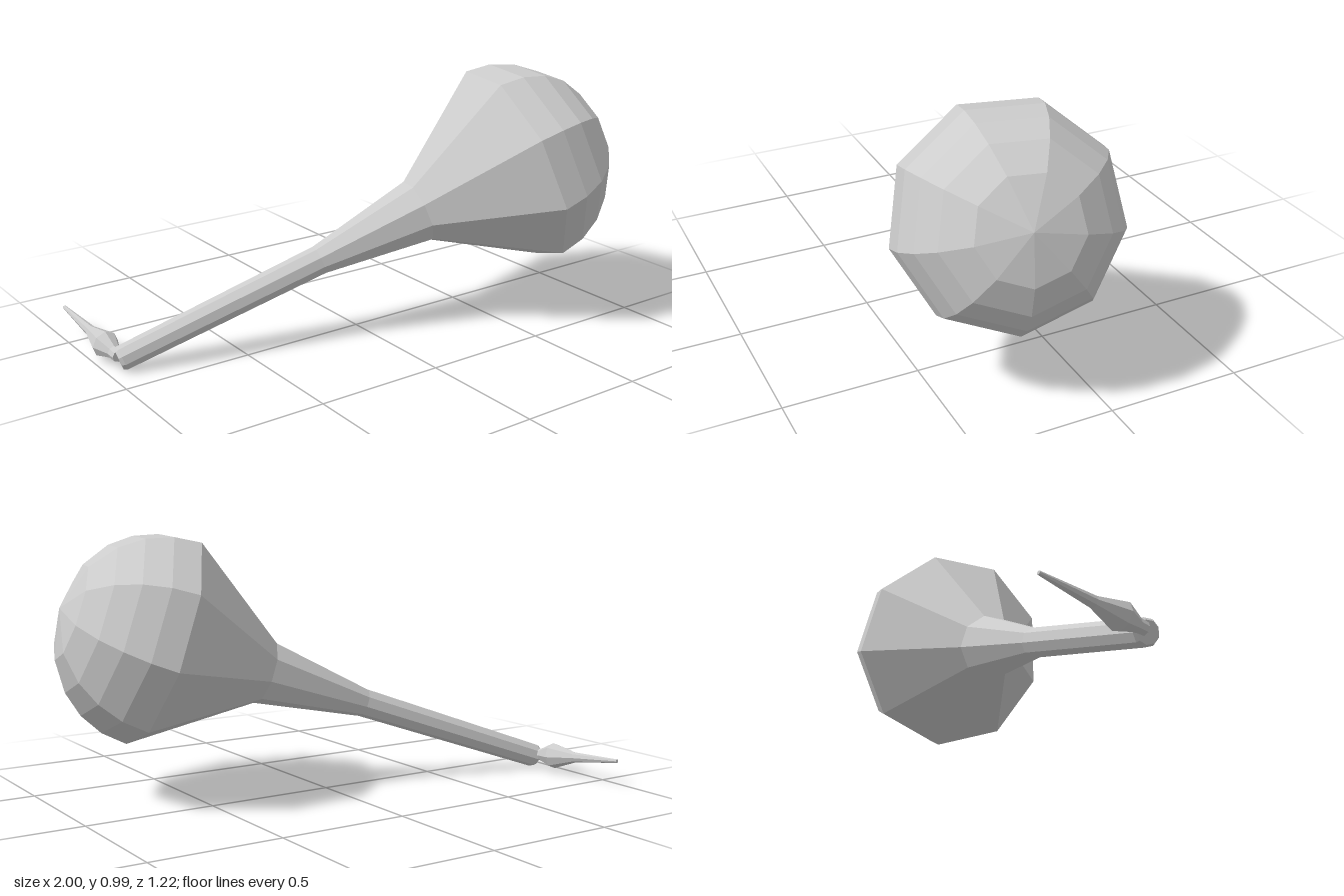
import * as THREE from 'three';

const material = new THREE.MeshStandardMaterial({ color: 0xcccccc, flatShading: true });

// Faceted turned part running from one point towards another; one corner points down
function turned(name, profile, sides, from, to) {
  const points = profile.map(([r, s]) => new THREE.Vector2(r, s));
  const mesh = new THREE.Mesh(new THREE.LatheGeometry(points, sides), material);
  const axis = to.clone().sub(from).normalize();
  const down = new THREE.Vector3(0, -1, 0);
  down.addScaledVector(axis, -down.dot(axis)).normalize();
  const side = new THREE.Vector3().crossVectors(axis, down);
  mesh.quaternion.setFromRotationMatrix(new THREE.Matrix4().makeBasis(side, axis, down));
  mesh.position.copy(from);
  mesh.name = name;
  return mesh;
}

export function createModel() {
  const model = new THREE.Group();
  model.name = 'club';

  // Club: slim handle, flared neck and domed head
  const shaft = [[0, 0], [0.04, 0], [0.048, 0.012], [0.057, 0.83], [0.127, 1.265]];
  const headStart = 1.69, headRadius = 0.41, headHeight = 0.39;
  const dome = [90, 75, 60, 45, 27, 0].map((deg) => {
    const a = THREE.MathUtils.degToRad(deg);
    return [headRadius * Math.sin(a), headStart + headHeight * Math.cos(a)];
  });
  const base = new THREE.Vector3(-0.95, 0.057, -0.16);
  model.add(turned('handleAndHead', [...shaft, ...dome], 9, base, new THREE.Vector3(0.957, 0.75, 0.29)));

  // Thin spike sticking out backwards from the handle end
  const spike = [[0, -0.03], [0.024, -0.03], [0.026, 0.005], [0.052, 0.073], [0.021, 0.19], [0.007, 0.413], [0, 0.413]];
  model.add(turned('spike', spike, 8,
    new THREE.Vector3(-0.947, 0.07, -0.2), new THREE.Vector3(-0.963, 0.118, -0.61)));

  return model;
}
